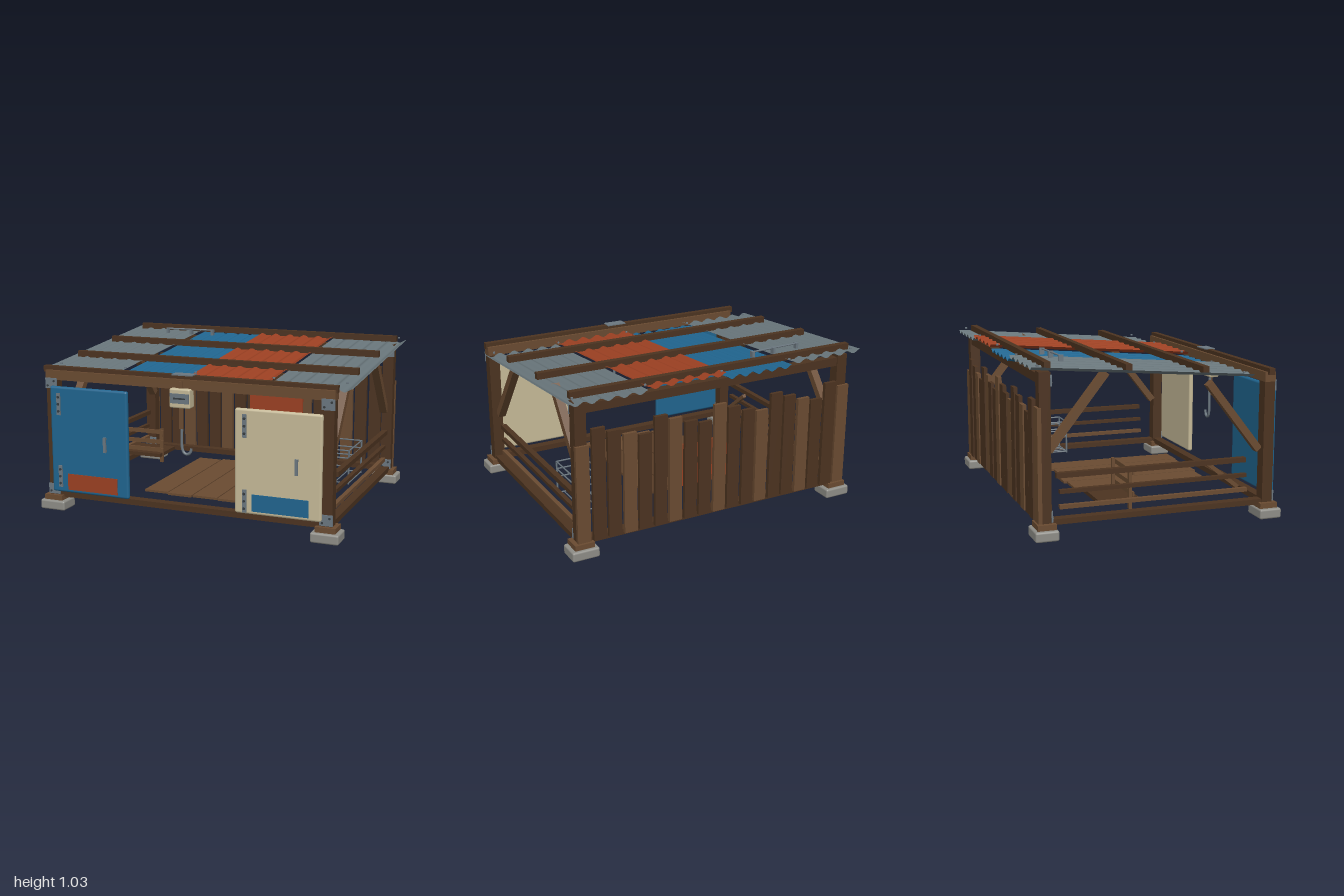
import * as THREE from 'three';
import { RoundedBoxGeometry } from 'three/addons/geometries/RoundedBoxGeometry.js';

const mat = (name, color, side = THREE.FrontSide) => {
  const m = new THREE.MeshStandardMaterial({ color, side });
  m.name = name;
  return m;
};

export function createModel() {
  const root = new THREE.Group();
  root.name = 'shelter';
  const dark = mat('dark timber', 0x4c3320);
  const mid = mat('worn timber', 0x6a4b31);
  const zinc = mat('zinc sheet', 0x68757a, THREE.DoubleSide);
  const blue = mat('blue paint', 0x20658f, THREE.DoubleSide);
  const rust = mat('rust red paint', 0x9c4022, THREE.DoubleSide);
  const cream = mat('cream paint', 0xc6ba98);
  const stone = mat('concrete', 0x8e8d87);
  const steel = mat('steel', 0x6b7780);
  const iron = mat('dark iron', 0x363c40);

  const add = (name, geo, m, x = 0, y = 0, z = 0, parent = root) => {
    const mesh = new THREE.Mesh(geo, m);
    mesh.name = name;
    mesh.position.set(x, y, z);
    parent.add(mesh);
    return mesh;
  };
  // Box given by its extents on each axis
  const box = (name, m, x0, x1, y0, y1, z0, z1) =>
    add(name, new THREE.BoxGeometry(x1 - x0, y1 - y0, z1 - z0), m, (x0 + x1) / 2, (y0 + y1) / 2, (z0 + z1) / 2);
  const rounded = (name, m, x0, x1, y0, y1, z0, z1, r) =>
    add(name, new RoundedBoxGeometry(x1 - x0, y1 - y0, z1 - z0, 2, r), m, (x0 + x1) / 2, (y0 + y1) / 2, (z0 + z1) / 2);
  // Timber between two points of a side plane
  const strut = (name, m, x, y0, z0, y1, z1, w, t) => {
    const s = add(name, new THREE.BoxGeometry(w, Math.hypot(y1 - y0, z1 - z0), t), m, x, (y0 + y1) / 2, (z0 + z1) / 2);
    s.rotation.x = Math.atan2(z1 - z0, y1 - y0);
    return s;
  };
  const rod = (name, m, a, b, r) => add(name,
    new THREE.TubeGeometry(new THREE.LineCurve3(new THREE.Vector3(...a), new THREE.Vector3(...b)), 1, r, 6), m);

  // Footings, posts and corner plates
  for (const sx of [-1, 1]) for (const sz of [-1, 1]) {
    const x = sx * 0.905, z = sz * 0.7, top = sz > 0 ? 0.885 : 0.97;
    rounded('footing', stone, x - 0.087, x + 0.087, 0, 0.062, z + sz * 0.005 - 0.071, z + sz * 0.005 + 0.071, 0.012);
    box('postPad', mid, x - 0.063, x + 0.063, 0.06, 0.095, z - 0.057, z + 0.057);
    box('post', dark, x - 0.036, x + 0.036, 0.09, top, z - 0.034, z + 0.034);
    for (const y of [0.133, sz > 0 ? 0.818 : 0.92]) {
      box('cornerPlate', steel, x - 0.04, x + 0.04, y - 0.033, y + 0.033, z + 0.032, z + 0.041);
      for (const k of [-1, 1]) {
        const b = add('bolt', new THREE.CylinderGeometry(0.007, 0.007, 0.008, 8), iron, x + k * 0.022, y + k * 0.015, z + 0.044);
        b.rotation.x = Math.PI / 2;
      }
    }
  }

  // Sills and top beams
  for (const z of [-0.7, 0.7]) box('sill', dark, -0.87, 0.87, 0.082, 0.118, z - 0.03, z + 0.03);
  for (const x of [-0.905, 0.905]) box('sideSill', dark, x - 0.03, x + 0.03, 0.082, 0.115, -0.67, 0.67);
  box('frontBeam', mid, -0.945, 0.945, 0.84, 0.9, 0.665, 0.735);
  box('backBeam', dark, -0.94, 0.94, 0.9, 0.955, -0.728, -0.672);

  // Knee braces and side rails
  for (const sx of [-1, 1]) {
    const x = sx * 0.885;
    strut('frontBrace', mid, x, 0.42, 0.655, 0.845, 0.32, 0.05, 0.045);
    strut('backBrace', mid, x, 0.51, -0.67, 0.945, -0.325, 0.05, 0.045);
    box('topRail', dark, sx * 0.905 - 0.018, sx * 0.905 + 0.018, 0.351, 0.381, -0.63, 0.56);
    box('middleRail', dark, sx * 0.905 - 0.014, sx * 0.905 + 0.014, 0.257, 0.28, -0.61, 0.57);
    box('lowerRail', mid, sx * 0.905 - 0.014, sx * 0.905 + 0.014, 0.166, 0.19, -0.61, 0.575);
  }
  strut('railBrace', mid, -0.87, 0.19, 0.53, 0.35, 0.33, 0.025, 0.025);

  // Uneven back boards
  const tops = [0.71, 0.735, 0.77, 0.805];
  for (let i = -9; i <= 9; i++) {
    const x = i * 0.101 - 0.005, dz = (Math.abs(i) % 2) * 0.004;
    box('backBoard', i % 3 === 0 ? mid : dark, x - 0.042, x + 0.042, 0.1, tops[(i + 13) % 4 === 0 ? 2 : (i + 13) % 4 === 1 ? 3 : (i + 13) % 4 === 2 ? 0 : 1] , -0.754 + dz, -0.73 + dz);
  }
  box('wallPanel', rust, -0.122, 0.28, 0.31, 0.58, -0.73, -0.708);

  // Corrugated roof sheets following the slope
  const slope = 0.08;
  const sheet = (m, x0, x1, y, zFront) => {
    const w = x1 - x0, d = zFront + 0.787;
    const g = new THREE.PlaneGeometry(w, d, 50, 1).rotateX(-Math.PI / 2);
    const p = g.attributes.position, zc = (zFront - 0.787) / 2;
    for (let i = 0; i < p.count; i++) {
      const wave = 0.011 * Math.cos((p.getX(i) / w + 0.5) * Math.PI * 10);
      p.setY(i, y + wave - slope * (p.getZ(i) + zc));
    }
    g.computeVertexNormals();
    add('roofSheet', g, m, (x0 + x1) / 2, 0, zc);
  };
  sheet(zinc, -1, -0.482, 0.936, 0.572);
  sheet(blue, -0.485, -0.012, 0.914, 0.568);
  sheet(rust, -0.016, 0.505, 0.939, 0.575);
  sheet(zinc, 0.5, 1, 0.919, 0.572);
  // Battens over the sheets
  for (const [z, y] of [[0.7, 0.904], [0.27, 0.937], [-0.21, 0.974], [-0.69, 1.01]])
    box('roofBatten', dark, -0.967, 0.953, y - 0.02, y + 0.02, z - 0.019, z + 0.019);
  for (const x of [-0.955, -0.49, -0.01, 0.5, 0.955]) for (const z of [-0.745, 0.52])
    add('roofScrew', new THREE.CylinderGeometry(0.008, 0.008, 0.01, 8), steel, x, 0.95 - slope * z, z);
  // Loose rod lying on the roof
  rod('looseRod', steel, [-0.695, 1.02, -0.53], [-0.345, 1.02, -0.55], 0.006);
  for (const [x, z] of [[-0.69, -0.53], [-0.51, -0.54], [-0.35, -0.55]])
    box('rodClip', steel, x - 0.008, x + 0.008, 0.985, 1.025, z - 0.015, z + 0.015);

  // Two front doors with patches, hinges and handles
  const door = (name, m, patchMat, x0, x1, top, patchX0, patchX1, hingeX, hingeYs, hx, hy) => {
    rounded(name, m, x0, x1, 0.125, top, 0.736, 0.768, 0.014);
    box(name + 'Patch', patchMat, patchX0, patchX1, 0.146, 0.25, 0.766, 0.773);
    for (const y of hingeYs) {
      box('hinge', steel, hingeX - 0.013, hingeX + 0.013, y - 0.07, y + 0.07, 0.766, 0.775);
      for (const k of [-0.045, 0, 0.045]) {
        const b = add('hingeBolt', new THREE.CylinderGeometry(0.008, 0.008, 0.008, 10), iron, hingeX, y + k, 0.777);
        b.rotation.x = Math.PI / 2;
      }
    }
    box('handle', steel, hx - 0.009, hx + 0.009, hy - 0.048, hy + 0.048, 0.778, 0.79);
    for (const k of [-0.038, 0.038]) box('handleMount', steel, hx - 0.007, hx + 0.007, hy + k - 0.007, hy + k + 0.007, 0.765, 0.78);
  };
  door('blueDoor', blue, rust, -0.9, -0.36, 0.805, -0.785, -0.435, -0.837, [0.695, 0.23], -0.511, 0.462);
  door('creamDoor', cream, blue, 0.345, 0.883, 0.762, 0.456, 0.808, 0.409, [0.66, 0.205], 0.735, 0.445);

  // Switch box with strap and hanging hook
  rounded('switchBox', cream, -0.075, 0.06, 0.73, 0.848, 0.7, 0.768, 0.01);
  box('switchPlate', steel, -0.068, 0.054, 0.76, 0.82, 0.766, 0.772);
  box('switchSlot', iron, -0.045, 0.03, 0.785, 0.795, 0.771, 0.774);
  box('beamClip', steel, -0.073, 0.062, 0.922, 0.929, 0.665, 0.735);
  box('strap', mid, -0.022, 0.004, 0.6, 0.89, 0.735, 0.745);
  const hookPts = [[-0.01, 0.72], [-0.01, 0.6], [-0.01, 0.49], [0, 0.455], [0.022, 0.443], [0.045, 0.457], [0.052, 0.485]];
  add('hook', new THREE.TubeGeometry(new THREE.CatmullRomCurve3(hookPts.map(([x, y]) => new THREE.Vector3(x, y, 0.73))), 30, 0.009, 8), steel);

  // Floor boards
  const ends = [[-0.35, 0.53], [-0.37, 0.55], [-0.34, 0.54], [-0.38, 0.55]];
  ends.forEach(([z0, z1], i) => box('floorBoard', mid, -0.365 + i * 0.17, -0.203 + i * 0.17, 0.116, 0.13, z0, z1));

  // Wire rack by the right rails
  const rx = [0.62, 0.8], rz = [-0.412, -0.103];
  for (const y of [0.128, 0.24, 0.295, 0.345]) {
    for (const x of rx) rod('rackBar', steel, [x, y, rz[0]], [x, y, rz[1]], 0.005);
    for (const z of rz) rod('rackBar', steel, [rx[0], y, z], [rx[1], y, z], 0.005);
  }
  for (const x of rx) for (const z of rz) rod('rackUpright', steel, [x, 0.12, z], [x, 0.35, z], 0.006);
  for (const k of [0.25, 0.5, 0.75]) {
    const x = rx[0] + k * (rx[1] - rx[0]);
    rod('rackFloorWire', steel, [x, 0.128, rz[0]], [x, 0.128, rz[1]], 0.004);
  }

  // Slatted bench by the left rails
  box('benchSeat', dark, -0.89, -0.57, 0.166, 0.19, -0.37, -0.12);
  for (const x of [-0.88, -0.58]) box('benchPost', mid, x - 0.012, x + 0.012, 0.12, 0.36, -0.18, -0.162);
  for (const y of [0.21, 0.268, 0.34]) box('benchSlat', mid, -0.9, -0.56, y - 0.014, y + 0.014, -0.162, -0.15);

  return root;
}
